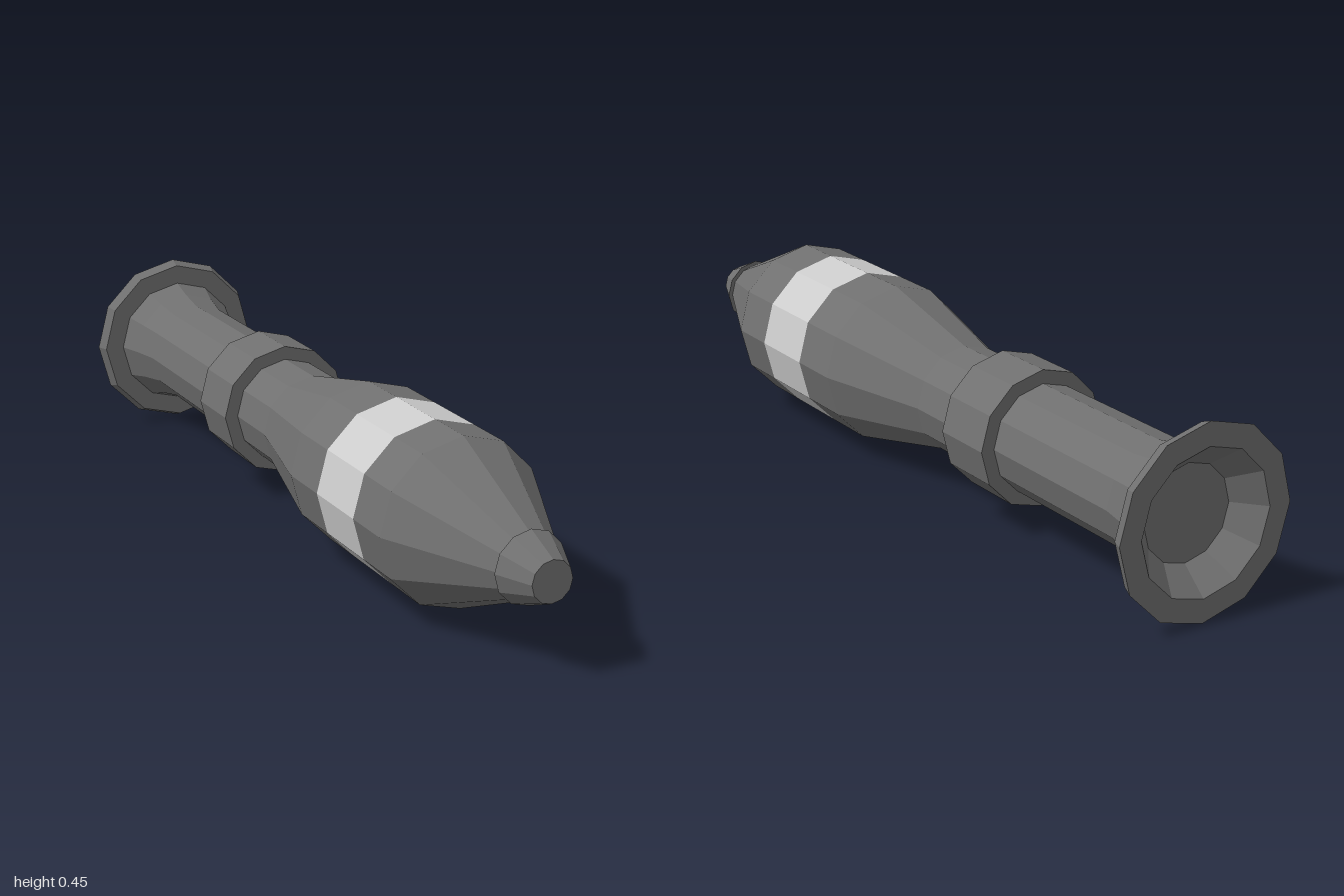
import * as THREE from 'three';

const SIDES = 12;
const AXIS_Y = 0.223;

const dark = new THREE.MeshStandardMaterial({ color: 0x707070, flatShading: true });
const light = new THREE.MeshStandardMaterial({ color: 0xcccccc, flatShading: true });

// Twelve-sided turned part; profile is [radius, z] pairs running from back to front
function turned(name, profile, material) {
  const points = profile.map(([r, z]) => new THREE.Vector2(r, z));
  const geometry = new THREE.LatheGeometry(points, SIDES);
  geometry.rotateX(Math.PI / 2);
  geometry.translate(0, AXIS_Y, 0);
  const mesh = new THREE.Mesh(geometry, material);
  mesh.name = name;
  return mesh;
}

export function createModel() {
  const model = new THREE.Group();
  model.name = 'rocket';

  // Rear flange with its recessed nozzle
  model.add(turned('nozzleFlange', [
    [0, -0.935], [0.112, -0.935], [0.168, -1], [0.223, -1], [0.212, -0.97], [0.16, -0.97],
  ], dark));

  // Flared tail, straight tube and swelling rear half of the body
  model.add(turned('tailTube', [
    [0.163, -0.97], [0.145, -0.91], [0.13, -0.835], [0.13, -0.11], [0.198, 0.19], [0.198, 0.325],
  ], dark));

  // Raised collar around the tube
  model.add(turned('collar', [
    [0.125, -0.425], [0.163, -0.425], [0.163, -0.267], [0.125, -0.267],
  ], dark));

  // Pale stripe
  model.add(turned('band', [[0.198, 0.325], [0.198, 0.505]], light));

  // Tapering nose
  model.add(turned('noseCone', [[0.198, 0.505], [0.198, 0.63], [0.07, 0.92]], dark));

  // Slightly overhanging blunt tip
  model.add(turned('tip', [[0, 0.913], [0.084, 0.913], [0.048, 1], [0, 1]], dark));

  return model;
}
